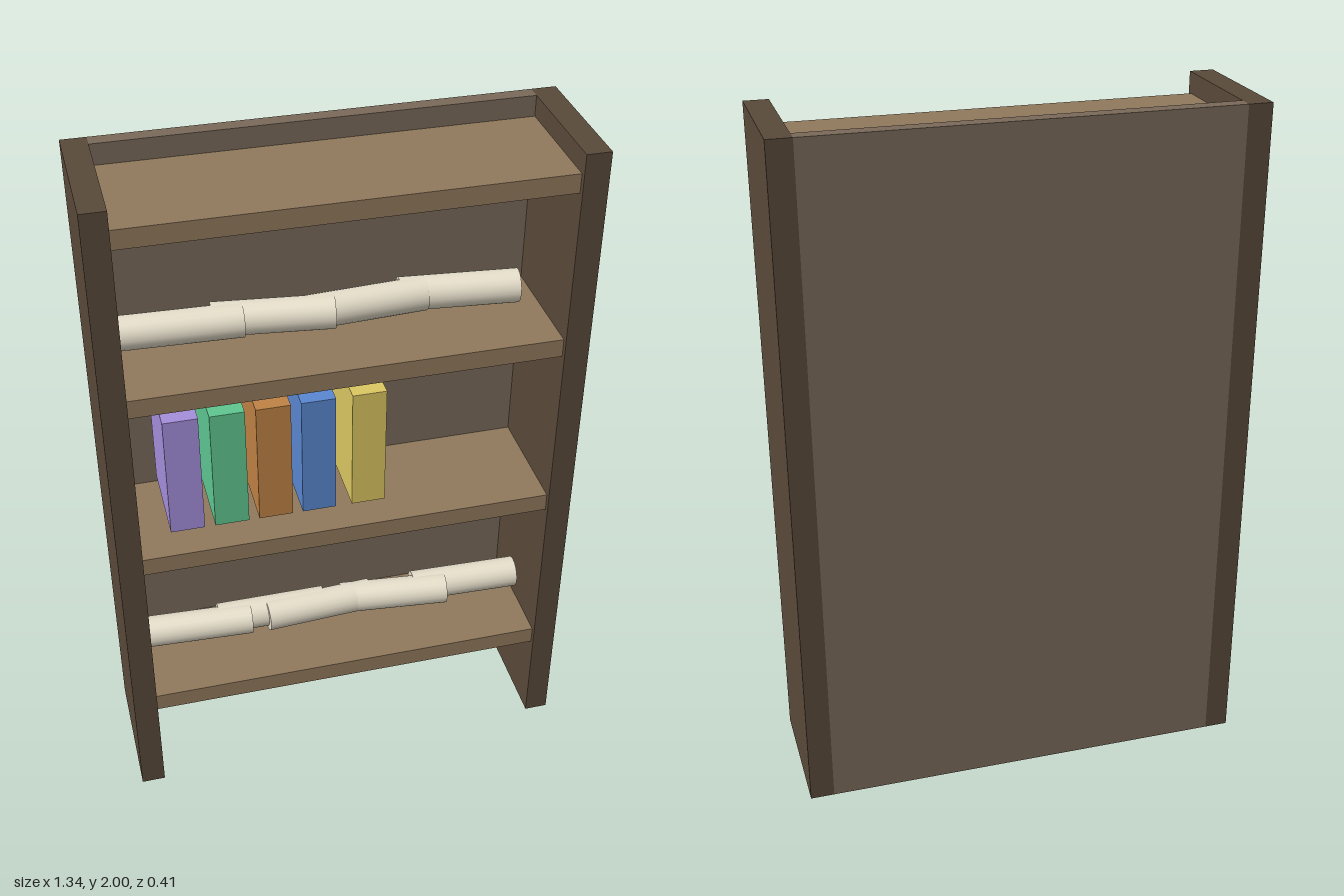
import * as THREE from 'three';

const mat = (color) => new THREE.MeshStandardMaterial({ color });

export function createModel() {
  const group = new THREE.Group();
  const wood = { side: mat(0x5a4a3a), back: mat(0x7a6a5a), shelf: mat(0x917a5d) };
  const paper = mat(0xe8e0cc);

  // Box given by its minimum and maximum on each axis
  const box = (name, material, [x0, x1], [y0, y1], [z0, z1]) => {
    const mesh = new THREE.Mesh(new THREE.BoxGeometry(x1 - x0, y1 - y0, z1 - z0), material);
    mesh.position.set((x0 + x1) / 2, (y0 + y1) / 2, (z0 + z1) / 2);
    mesh.name = name;
    group.add(mesh);
  };

  // Case: two sides and a back panel
  box('leftSide', wood.side, [0.6, 0.67], [0, 2], [-0.203, 0.203]);
  box('rightSide', wood.side, [-0.67, -0.6], [0, 2], [-0.203, 0.203]);
  box('backPanel', wood.back, [-0.6, 0.6], [0, 2], [-0.203, -0.16]);

  // Shelves
  [0.295, 0.84, 1.385, 1.885].forEach((y, i) =>
    box(`shelf${i + 1}`, wood.shelf, [-0.6, 0.6], [y, y + 0.055], [-0.16, 0.187]));

  // Row of books
  const books = [
    [-0.458, 0xa58fdc], [-0.33, 0x5fc892], [-0.202, 0xc08345],
    [-0.075, 0x5a88d2], [0.07, 0xdcc862],
  ];
  books.forEach(([x, color], i) =>
    box(`book${i + 1}`, mat(color), [x - 0.049, x + 0.049], [0.93, 1.31], [-0.14, 0.127]));

  // Rolled scrolls lying end over end, each turned a little: [x, z, turn]
  const scrollShape = new THREE.CylinderGeometry(0.048, 0.048, 0.335, 20).rotateZ(Math.PI / 2);
  const scrollRow = (name, y, list) => list.forEach(([x, z, turn], i) => {
    const mesh = new THREE.Mesh(scrollShape, paper);
    mesh.position.set(x, y, z);
    mesh.rotation.y = -turn;
    mesh.name = `${name}${i + 1}`;
    group.add(mesh);
  });
  scrollRow('upperScroll', 1.523, [
    [-0.42, -0.005, 0.04], [-0.17, 0, 0.12], [0.09, 0, -0.06], [0.355, -0.005, 0.1],
  ]);
  scrollRow('lowerScroll', 0.435, [
    [-0.435, 0, 0.05], [-0.2, -0.012, 0], [-0.05, 0, -0.06], [0.19, 0.005, 0.1], [0.425, -0.005, 0.03],
  ]);

  return group;
}
